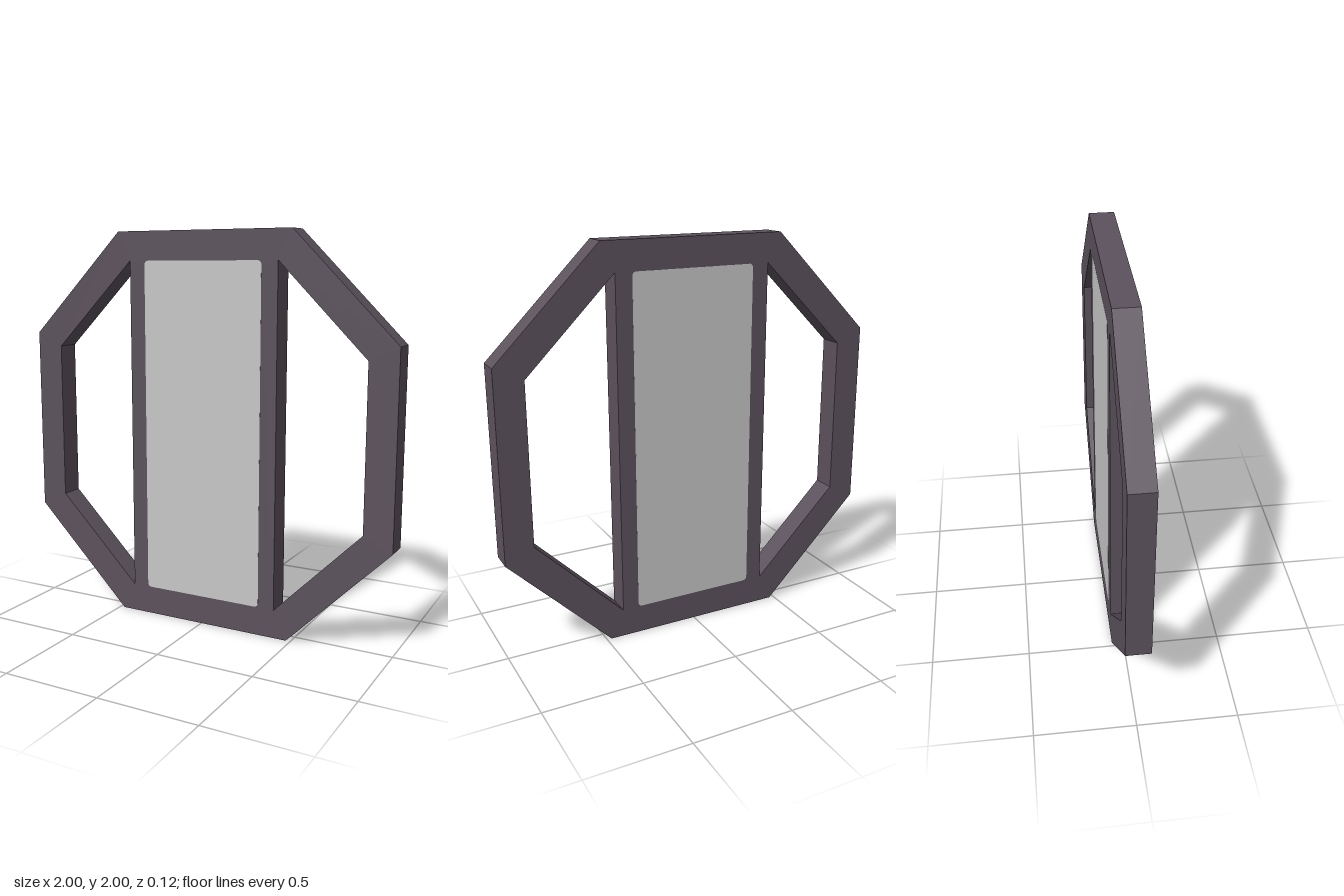
import * as THREE from 'three';

const DEPTH = 0.122;

// Octagon outline scaled about the origin
function octagon(Type, s) {
  const a = s, b = 0.476 * s;
  return new Type([[b, -a], [a, -b], [a, b], [b, a], [-b, a], [-a, b], [-a, -b], [-b, -a]]
    .map(([x, y]) => new THREE.Vector2(x, y)));
}

// Rectangle with rounded corners
function roundedRect(Type, w, h, r) {
  const p = new Type();
  p.absarc(w - r, h - r, r, 0, Math.PI / 2);
  p.absarc(-w + r, h - r, r, Math.PI / 2, Math.PI);
  p.absarc(-w + r, -h + r, r, Math.PI, Math.PI * 1.5);
  p.absarc(w - r, -h + r, r, Math.PI * 1.5, Math.PI * 2);
  p.closePath();
  return p;
}

export function createModel() {
  const group = new THREE.Group();
  const frameMat = new THREE.MeshStandardMaterial({ color: 0x5c525d });
  frameMat.name = 'dark mauve frame';
  const panelMat = new THREE.MeshStandardMaterial({ color: 0xc8c8c8 });
  panelMat.name = 'light grey panel';

  const add = (name, shape, depth, mat) => {
    const geo = new THREE.ExtrudeGeometry(shape, { depth, bevelEnabled: false, curveSegments: 4 });
    geo.translate(0, 1, -depth / 2);
    const mesh = new THREE.Mesh(geo, mat);
    mesh.name = name;
    group.add(mesh);
  };

  // Outer octagonal ring
  const ring = octagon(THREE.Shape, 1);
  ring.holes.push(octagon(THREE.Path, 0.855));
  add('octagonFrame', ring, DEPTH, frameMat);

  // Two uprights joined around the rounded panel opening
  const w = 0.407, h = 0.855;
  const uprights = new THREE.Shape([[-w, -h], [w, -h], [w, h], [-w, h]]
    .map(([x, y]) => new THREE.Vector2(x, y)));
  uprights.holes.push(roundedRect(THREE.Path, 0.322, 0.854, 0.02));
  add('uprights', uprights, DEPTH, frameMat);

  // Centre panel, flush with both faces
  add('centrePanel', roundedRect(THREE.Shape, 0.322, 0.854, 0.02), DEPTH + 0.001, panelMat);

  return group;
}
